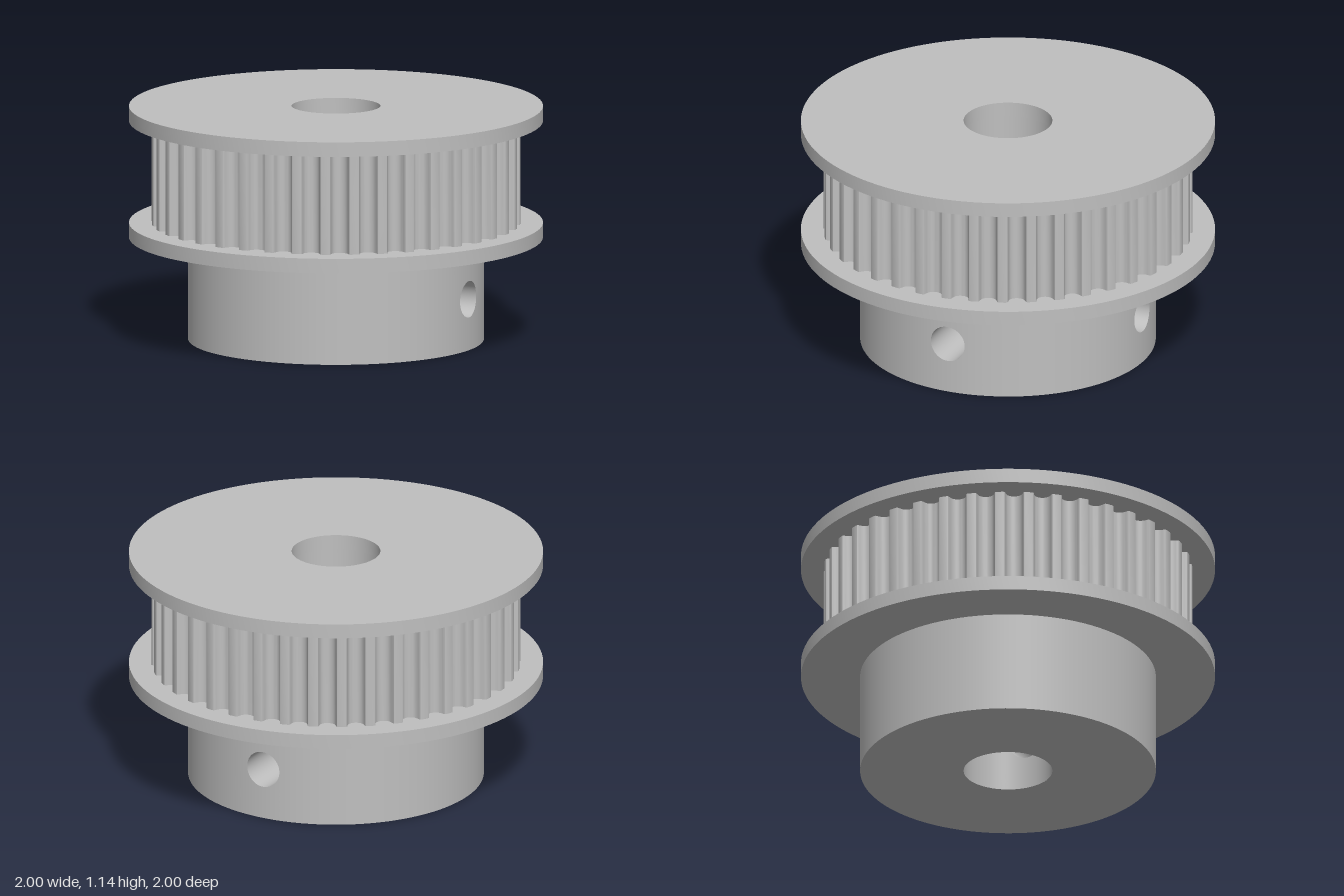
import * as THREE from 'three';
import { toCreasedNormals } from 'three/addons/utils/BufferGeometryUtils.js';
import { ParametricGeometry } from 'three/addons/geometries/ParametricGeometry.js';

const MM = 1 / 14;                 // dimensions below are in millimetres
const BORE = 3 * MM, HUB = 10 * MM, FLANGE = 14 * MM, TOOTH_TIP = 12.47 * MM;
const HUB_H = 7 * MM, RIM = 1 * MM, BELT = 7 * MM, SCREW = 1.25 * MM;
const TEETH = 40;

// Half of one rounded belt groove: [sideways, depth], from lip to floor
const GROOVE = [[0.747, 0], [0.648, 0.037], [0.598, 0.131], [0.579, 0.238], [0.547, 0.343],
  [0.505, 0.444], [0.452, 0.54], [0.358, 0.637], [0.248, 0.707], [0.127, 0.75], [0, 0.765]];

function circleShape(r) {
  return new THREE.Shape().absarc(0, 0, r, 0, Math.PI * 2, false);
}

function toothedShape() {
  const full = [...GROOVE, ...GROOVE.slice(0, -1).reverse().map(([w, d]) => [-w, d])].reverse();
  const pts = [];
  for (let i = 0; i < TEETH; i++) {
    const a = (i / TEETH) * Math.PI * 2;
    for (const [w, d] of full) {
      const side = w * MM;
      const r = Math.sqrt(TOOTH_TIP ** 2 - side ** 2) - d * MM;
      pts.push(new THREE.Vector2(r * Math.cos(a) - side * Math.sin(a), r * Math.sin(a) + side * Math.cos(a)));
    }
  }
  return new THREE.Shape(pts);
}

// Upright plate with the central bore cut through it
function boredPlate(shape, y, height) {
  const bore = new THREE.Path();
  bore.absarc(0, 0, BORE, 0, Math.PI * 2, true);
  shape.holes.push(bore);
  const geo = new THREE.ExtrudeGeometry(shape, { depth: height, bevelEnabled: false, curveSegments: 60 });
  geo.rotateX(-Math.PI / 2).translate(0, y, 0);
  return toCreasedNormals(geo, 0.5);
}

// Cylinder wall of the hub between two angles, facing outward or inward
function wallArc(r, from, to, inward) {
  return new ParametricGeometry((u, v, p) => {
    const a = from + (to - from) * u;
    p.set(r * Math.sin(a), HUB_H * (inward ? 1 - v : v), r * Math.cos(a));
  }, 64, 1);
}

// Curved wall panel on the +x side with a round hole in its middle
function holedPanel(r, halfWidth, inward) {
  return new ParametricGeometry((u, v, p) => {
    const c = Math.cos(u * Math.PI * 2), s = Math.sin(u * Math.PI * 2);
    const k = Math.max(Math.abs(c), Math.abs(s));
    const z = THREE.MathUtils.lerp(SCREW * c, (halfWidth * c) / k, v);
    const y = THREE.MathUtils.lerp(SCREW * s, (HUB_H / 2) * (s / k), v);
    p.set(Math.sqrt(r * r - z * z), HUB_H / 2 + y, inward ? -z : z);
  }, 64, 8);
}

// Inside of a screw hole, from the bore out to the hub surface
function screwHoleWall() {
  return new ParametricGeometry((u, v, p) => {
    const z = SCREW * Math.cos(u * Math.PI * 2), y = SCREW * Math.sin(u * Math.PI * 2);
    const x = THREE.MathUtils.lerp(Math.sqrt(BORE ** 2 - z * z), Math.sqrt(HUB ** 2 - z * z), v);
    p.set(x, HUB_H / 2 + y, z);
  }, 64, 1);
}

export function createModel() {
  const model = new THREE.Group();
  model.name = 'timingPulley';
  const metal = new THREE.MeshStandardMaterial({ color: 0xbfbfbf });
  metal.name = 'grey metal';

  const add = (parent, name, geo) => {
    const mesh = new THREE.Mesh(geo, metal);
    mesh.name = name;
    parent.add(mesh);
    return mesh;
  };

  // Belt section between two flanges
  const beltY = HUB_H + RIM;
  add(model, 'lowerFlange', boredPlate(circleShape(FLANGE), HUB_H, RIM));
  add(model, 'toothedRing', boredPlate(toothedShape(), beltY, BELT));
  add(model, 'upperFlange', boredPlate(circleShape(FLANGE), beltY + BELT, RIM));

  // Hub with two screw holes at right angles, on +x and -z
  const hub = new THREE.Group();
  hub.name = 'hub';
  model.add(hub);
  for (const [label, r, halfWidth, inward] of [['hubWall', HUB, 0.25, false], ['boreWall', BORE, 0.14, true]]) {
    const a = Math.asin(halfWidth / r);
    add(hub, label + 'Short', wallArc(r, Math.PI / 2 + a, Math.PI - a, inward));
    add(hub, label + 'Long', wallArc(r, Math.PI + a, Math.PI * 2.5 - a, inward));
    const panel = holedPanel(r, halfWidth, inward);
    for (const turn of [0, Math.PI / 2]) add(hub, label + 'HolePanel', panel).rotation.y = turn;
  }
  const holeWall = screwHoleWall();
  for (const turn of [0, Math.PI / 2]) add(hub, 'screwHole', holeWall).rotation.y = turn;
  add(hub, 'hubBottom', new THREE.RingGeometry(BORE, HUB, 120).rotateX(Math.PI / 2));

  return model;
}
